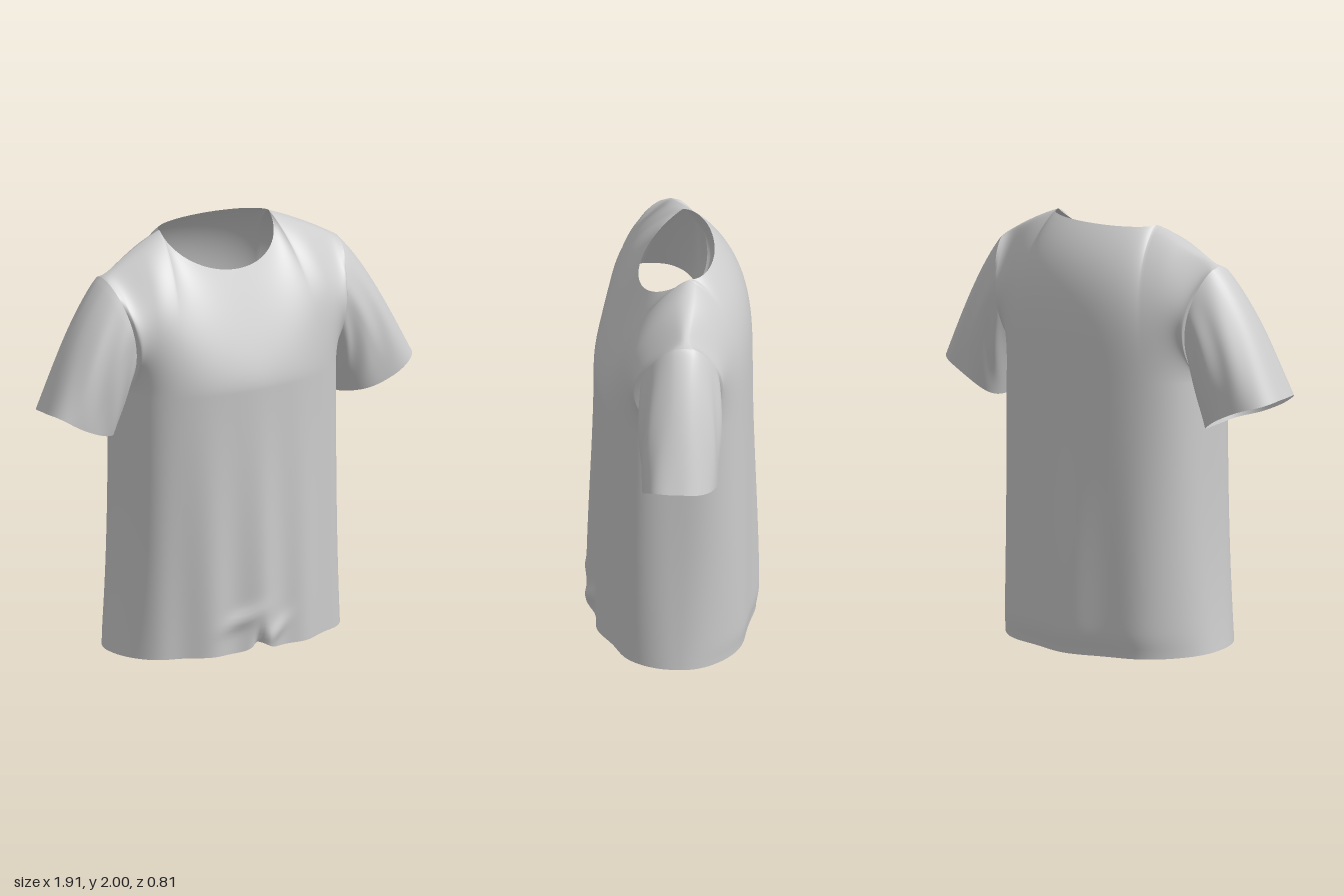
import * as THREE from 'three';
import { mergeGeometries, mergeVertices } from 'three/addons/utils/BufferGeometryUtils.js';

const ARMPIT = 1.3;      // height where the sleeves join the body
const NECK_U = 0.5;      // part of the panel width taken by the neckline
const { lerp, smoothstep } = THREE.MathUtils;
const bell = (d, w) => Math.exp(-(d * d) / (w * w));
const spow = (v, p) => Math.sign(v) * Math.pow(Math.abs(v), p);

// Grid surface from a rule f(u, v) -> [x, y, z], u and v in 0..1
function grid(f, nu, nv) {
  const pos = [], index = [];
  for (let j = 0; j <= nv; j++) for (let i = 0; i <= nu; i++) pos.push(...f(i / nu, j / nv));
  for (let j = 0; j < nv; j++) for (let i = 0; i < nu; i++) {
    const a = j * (nu + 1) + i, b = a + 1, c = b + nu + 1, d = a + nu + 1;
    index.push(a, b, c, a, c, d);
  }
  const g = new THREE.BufferGeometry();
  g.setAttribute('position', new THREE.Float32BufferAttribute(pos, 3));
  g.setIndex(index);
  return g;
}

// Top edge of a panel: neckline in the middle, shoulder seam on both sides
function topEdge(s, u) {
  const m = Math.abs(u);
  if (m < NECK_U) {
    const a = (m / NECK_U) * Math.PI / 2, c = Math.cos(a);
    return s > 0
      ? [Math.sign(u) * 0.29 * Math.sin(a), 2 - 0.17 * c, -0.06 + 0.22 * c]
      : [Math.sign(u) * 0.29 * Math.sin(a), 2 - 0.006 * c, -0.06 - 0.13 * c];
  }
  const k = (m - NECK_U) / (1 - NECK_U);
  return [Math.sign(u) * lerp(0.29, 0.62, k), 2 - 0.12 * k - 0.04 * k * k, lerp(-0.06, -0.02, k)];
}

// Soft vertical folds and the gathered pinch at the front hem
function folds(s, x, y) {
  const low = 1 - smoothstep(y, 0.1, 1.5);
  if (s < 0) return low * 0.012 * Math.cos(15 * x);
  let d = low * (0.011 * Math.cos(25 * x) + 0.008 * bell(x - 0.03, 0.06));
  d -= 0.045 * bell(x + 0.01, 0.025) * bell(y - 0.06, 0.07);
  d += 0.02 * bell(x + 0.1, 0.09) * bell(y - 0.2 - 0.3 * (x + 0.1), 0.04);
  d += 0.018 * bell(x - 0.08, 0.07) * bell(y - 0.12 - 0.5 * (x - 0.08), 0.04);
  return d;
}

// One point of the front (s = 1) or back (s = -1) panel; t < 0 lies below the armpits
function bodyPoint(s, u, t) {
  const a = u * Math.PI / 2, c = Math.max(0, Math.cos(a)), m = Math.abs(u);
  // boxy cross-section at the chest, more oval at the hem
  const k = Math.max(0, -t);
  const round = Math.pow(c, s > 0 ? lerp(0.58, 0.8, k * k) : lerp(0.7, 0.95, k * k));
  let x, y, z;
  if (t <= 0) {
    const hem = 0.02 + (s > 0 ? 0.02 * round + 0.035 * bell(u, 0.06) : -0.02 * round);
    x = Math.sin(a) * (0.532 + 0.05 * k * k * k) - 0.01 * k * k * k;
    y = lerp(ARMPIT, hem, k);
    z = s * round * (0.365 + 0.02 * smoothstep(k, 0, 1));
    if (s < 0) z += 0.015 * round * bell(k - 1, 0.05);
  } else {
    const [tx, ty, tz] = topEdge(s, u);
    const side = smoothstep(m, 0, 0.7);
    // slope towards the neckline, rolling over softly at the shoulder
    const drop = s > 0
      ? lerp(1.3 * t * t / (t + 0.3), Math.pow(t, 2.6), side)
      : Math.pow(t, lerp(4, 3.2, side));
    const fall = Math.pow(Math.max(0, 1 - drop), lerp(1, 0.65, side * side));
    x = lerp(Math.sin(a) * 0.532, tx, t * t);
    y = lerp(ARMPIT, ty, t);
    z = lerp(tz, s * round * 0.365, fall);
    // fullness around the armhole
    const arch = Math.pow(Math.max(0, Math.sin(Math.PI * t)), lerp(2, 0.5, Math.pow(m, 6)));
    z += s * Math.pow(m, 5) * 0.185 * arch;
  }
  z += s * Math.sqrt(c) * folds(s, x, y);
  return [x, y, z];
}

// Front and back panels welded along the sides and shoulders
function bodyGeometry() {
  const panels = [1, -1].map((s) =>
    grid((u, v) => bodyPoint(s, s * (u * 2 - 1), v * 2 - 1), 112, 112));
  const g = mergeVertices(mergeGeometries(panels), 1e-4);
  g.computeVertexNormals();
  return g;
}

// Sleeve lofted from the armhole to a tilted, boxy oval cuff
function sleeveGeometry() {
  const g = mergeVertices(grid((k, v) => {
    const s = v < 0.5 ? 1 : -1, t = v < 0.5 ? v * 2 : 2 - v * 2;
    const A = bodyPoint(s, 1, t);
    const th = t * Math.PI;
    const up = spow(-Math.cos(th), 0.8), out = s * Math.pow(Math.max(0, Math.sin(th)), 0.7);
    const cuff = [
      0.778 + 0.178 * up,
      1.172 + 0.08 * up + 0.008 * Math.sin(3 * th) * s,
      0.01 + 0.172 * out + 0.025 * up,
    ];
    const swell = Math.sin(Math.PI * Math.pow(k, 0.75));
    const top = (1 + up) / 2;
    // creases fanning out from the armpit
    const crease = 0.006 * swell * Math.sin(7 * th + 7 * k) * Math.sin(th);
    return [
      lerp(A[0], cuff[0], k) + 0.024 * swell * top,
      lerp(A[1], cuff[1], k) + 0.014 * swell * top,
      lerp(A[2], cuff[2], k) + s * (crease + 0.008 * swell * Math.sin(th)),
    ];
  }, 32, 112), 1e-4);
  g.computeVertexNormals();
  return g;
}

export function createModel() {
  const fabric = new THREE.MeshStandardMaterial({ color: 0xcccccc, side: THREE.DoubleSide });
  fabric.name = 'light grey fabric';

  const shirt = new THREE.Group();
  shirt.name = 'shirt';

  const body = new THREE.Mesh(bodyGeometry(), fabric);
  body.name = 'body';
  shirt.add(body);

  const sleeve = sleeveGeometry();
  for (const side of [1, -1]) {
    const mesh = new THREE.Mesh(sleeve, fabric);
    mesh.name = side > 0 ? 'leftSleeve' : 'rightSleeve';
    mesh.scale.x = side;
    shirt.add(mesh);
  }
  return shirt;
}
